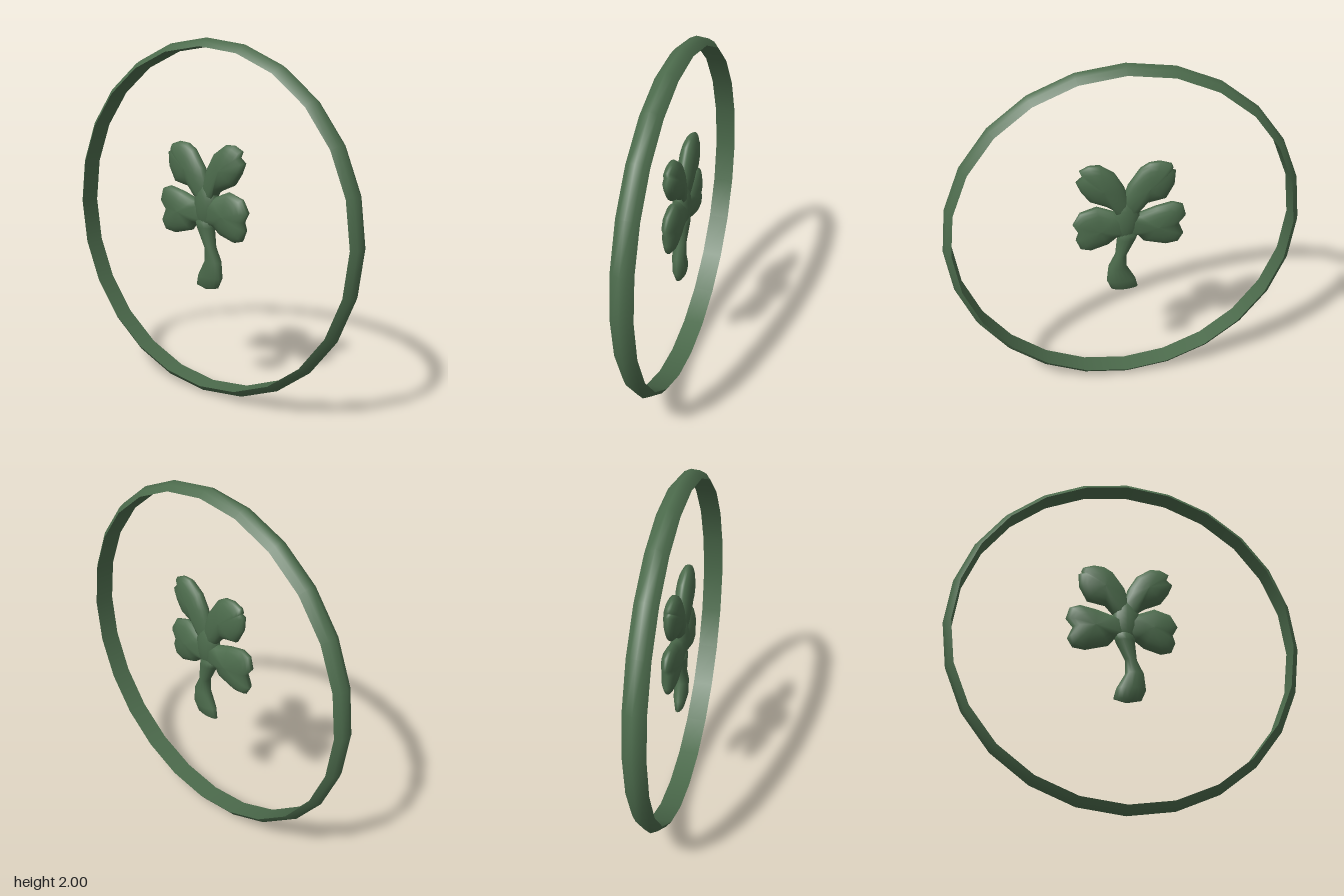
import * as THREE from 'three';

const green = new THREE.MeshStandardMaterial({ color: 0x4c6b4c });
green.name = 'cloverGreen';

// Skin a stack of closed loops, each an array of [x, y, z]
function skin(rows) {
  const n = rows[0].length, index = [];
  for (let r = 0; r < rows.length - 1; r++) {
    for (let j = 0; j < n; j++) {
      const k = (j + 1) % n;
      const a = r * n + j, b = a + n, c = (r + 1) * n + k, d = r * n + k;
      index.push(a, b, c, a, c, d);
    }
  }
  const geo = new THREE.BufferGeometry();
  geo.setAttribute('position', new THREE.Float32BufferAttribute(rows.flat(2), 3));
  geo.setIndex(index);
  geo.computeVertexNormals();
  return geo;
}

// Puffy pillow: an anticlockwise outline domed towards a centre on both sides
function pillow(outline, [cx, cy], height) {
  const steps = 12, rows = [];
  for (let r = 0; r <= steps; r++) {
    const t = Math.PI * r / steps;
    const s = Math.max(Math.sin(t), 0.001);
    rows.push(outline.map(([x, y]) => [cx + s * (x - cx), cy + s * (y - cy), height * Math.cos(t)]));
  }
  return skin(rows);
}

// Stem: oval sections given as [left x, right x, y, half depth]
function loftStem(sections) {
  const sides = 16;
  return skin(sections.map(([l, r, y, depth]) => Array.from({ length: sides }, (_, j) => {
    const a = j / sides * Math.PI * 2;
    return [(l + r) / 2 + (r - l) / 2 * Math.cos(a), y, -depth * Math.sin(a)];
  })));
}

export function createModel() {
  const group = new THREE.Group();
  group.name = 'cloverPendant';
  const add = (name, geo) => {
    const mesh = new THREE.Mesh(geo, green);
    mesh.name = name;
    group.add(mesh);
    return mesh;
  };

  // Hoop: domed outer face and flat inner face
  const profiles = {
    hoopOuter: [[0.955, -0.06], [0.985, -0.035], [1, 0], [0.985, 0.035], [0.955, 0.06]],
    hoopInner: [[0.955, 0.06], [0.955, -0.06]],
  };
  for (const [name, pts] of Object.entries(profiles)) {
    const geo = new THREE.LatheGeometry(pts.map(p => new THREE.Vector2(...p)), 24);
    geo.rotateX(Math.PI / 2);
    add(name, geo).position.y = 1;
  }

  // Four notched leaves
  add('upperLeftLeaf', pillow([
    [-0.02, 1.06], [0.04, 1.1], [0.06, 1.15], [0.11, 1.185], [0.2, 1.225], [0.245, 1.29],
    [0.27, 1.35], [0.235, 1.38], [0.25, 1.415], [0.2, 1.44], [0.14, 1.44], [0.06, 1.385],
    [0.01, 1.3], [-0.01, 1.24], [-0.04, 1.15],
  ], [0.125, 1.3], 0.05));
  add('upperRightLeaf', pillow([
    [0.02, 1.06], [0.04, 1.15], [0.01, 1.24], [-0.01, 1.3], [-0.08, 1.4], [-0.13, 1.43],
    [-0.19, 1.435], [-0.25, 1.415], [-0.26, 1.39], [-0.25, 1.38], [-0.275, 1.37],
    [-0.27, 1.29], [-0.225, 1.205], [-0.12, 1.185], [-0.065, 1.12],
  ], [-0.125, 1.29], 0.05));
  add('leftLeaf', pillow([
    [-0.05, 1.0], [0.05, 0.98], [0.1, 0.94], [0.2, 0.91], [0.255, 0.925], [0.28, 0.985],
    [0.265, 1.03], [0.295, 1.085], [0.255, 1.155], [0.16, 1.185], [0.05, 1.14], [-0.05, 1.12],
  ], [0.15, 1.05], 0.05));
  add('rightLeaf', pillow([
    [0.05, 1.0], [0.05, 1.12], [-0.065, 1.12], [-0.17, 1.155], [-0.265, 1.175],
    [-0.32, 1.155], [-0.34, 1.085], [-0.3, 1.035], [-0.33, 0.965], [-0.3, 0.915],
    [-0.23, 0.905], [-0.1, 0.94], [-0.065, 0.985],
  ], [-0.18, 1.04], 0.05));

  // Thick centre joining the leaves
  const hub = new THREE.SphereGeometry(1, 16, 12);
  hub.scale(0.08, 0.14, 0.05);
  add('hub', hub).position.set(0, 1.09, 0);

  // Stem with a flared foot
  add('stem', loftStem([
    [-0.005, 0.005, 1.1, 0.01], [-0.07, 0.05, 1.0, 0.045], [-0.06, 0.05, 0.97, 0.045],
    [-0.005, 0.06, 0.86, 0.035], [-0.005, 0.1, 0.78, 0.04], [-0.055, 0.11, 0.69, 0.04],
    [-0.07, 0.085, 0.63, 0.025], [0, 0.002, 0.61, 0.001],
  ]));
  return group;
}
